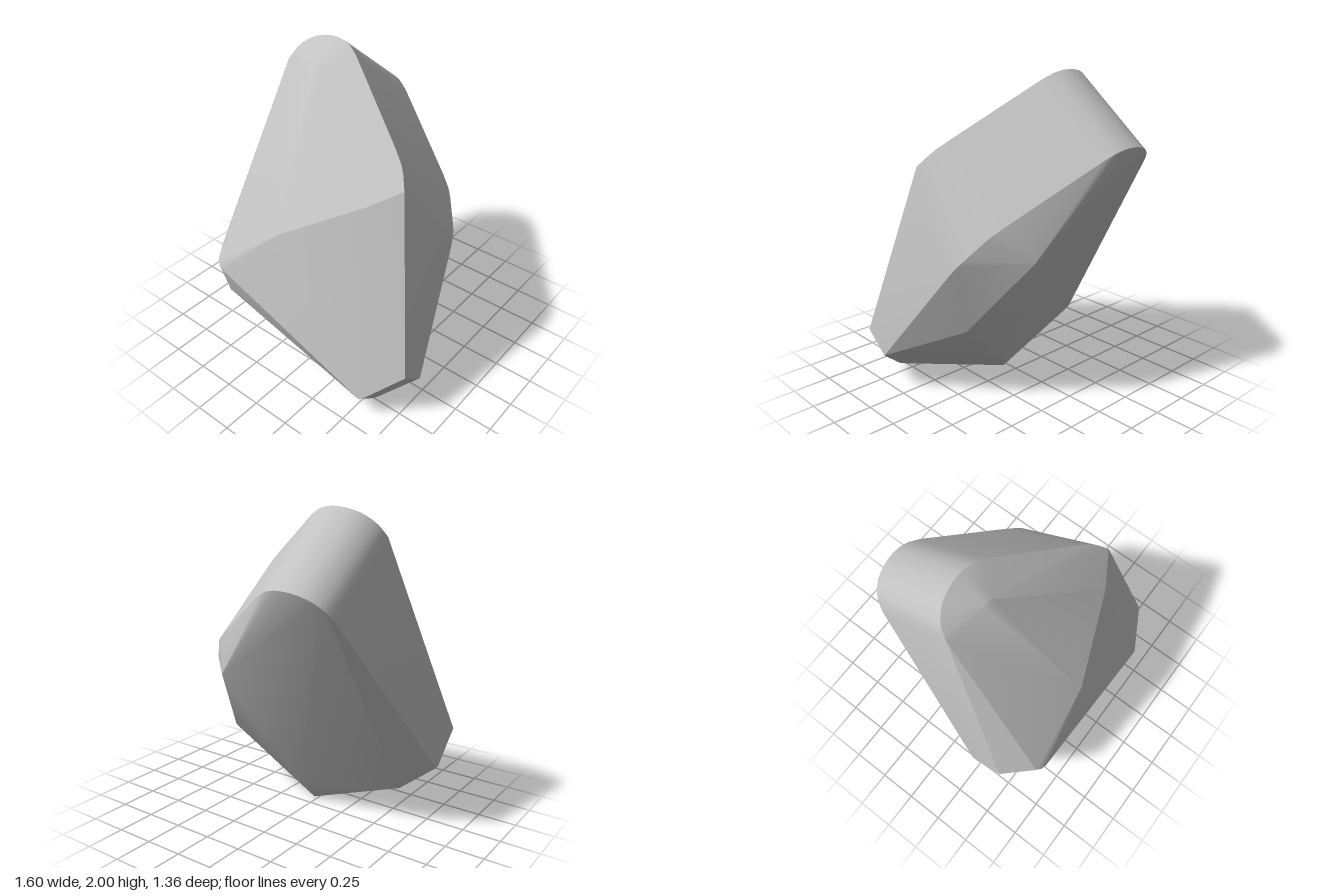
import * as THREE from 'three';
import { toCreasedNormals } from 'three/addons/utils/BufferGeometryUtils.js';
import { ConvexGeometry } from 'three/addons/geometries/ConvexGeometry.js';

const v = (x, y, z) => new THREE.Vector3(x, y, z);

// Points along a smooth curve through the given points
const arc = (points, steps) =>
  new THREE.CatmullRomCurve3(points.map((p) => v(...p)), false, 'centripetal').getPoints(steps);

// Points of the tilted planes that hold the front and back rims
const onFront = (x, y) => [x, y, -0.16 + (2 - y) / 1.27];
const onBack = (x, y) => [x, y, 0.53 - (y - 0.04) / 1.28];

export function createModel() {
  const stone = new THREE.MeshStandardMaterial({ color: 0xc2c2c2 });
  stone.name = 'stone grey';

  // Rounded crown and right shoulder of the front rim
  const crown = arc([
    onFront(-0.56, 1.83), onFront(-0.525, 1.905), onFront(-0.45, 1.965), onFront(-0.36, 1.993),
    onFront(-0.27, 2), onFront(-0.18, 1.985), onFront(-0.09, 1.94),
  ], 14);
  const shoulder = arc([onFront(0.4, 1.61), onFront(0.49, 1.54), onFront(0.56, 1.45)], 6);

  // The back rim repeats the front rim, pushed back and down
  const depth = v(0, -0.41, -0.52);
  const backRim = [...crown, ...shoulder].map((p) => p.clone().add(depth));
  const backShoulder = arc([onBack(0.59, 1), onBack(0.625, 0.95), onBack(0.65, 0.88)], 4);

  // Curved lower left edge, front and back
  const lowerFront = arc([[-0.59, 0.37, 0.62], [-0.45, 0.27, 0.58], [-0.3, 0.19, 0.55], [-0.2, 0.16, 0.55]], 8);
  const lowerBack = arc([
    onBack(-0.8, 0.375), onBack(-0.72, 0.3), onBack(-0.6, 0.23), onBack(-0.45, 0.165), onBack(-0.31, 0.12),
  ], 10);

  const corners = [
    // front ridge and the soft bulge below the right shoulder
    [-0.12, 1.03, 0.6], [-0.24, 1.88, 0.03], [-0.3, 1.89, 0.02], [0.38, 1.33, 0.39],
    // front left corner
    [-0.8, 0.57, 0.47], [-0.64, 0.62, 0.65], [-0.61, 0.6, 0.672], [-0.57, 0.58, 0.68],
    // lower right bevel
    [0.8, 0.37, 0.53], [0.8, 0.24, 0.37],
    [0.57, 0.16, 0.68], [0.59, 0.17, 0.67], [0.57, 0.04, 0.53], [0.59, 0.055, 0.52],
    // back ridge, from its peak down to the foot
    [0.31, 0.98, -0.5], [0.53, 0.49, -0.13], [0.07, 0.12, 0], [0.03, 0, 0.09],
    // lower left corner of the back
    [-0.8, 0.38, 0.235], [-0.62, 0.24, 0.1],
  ].map((p) => v(...p));

  const hull = new ConvexGeometry([
    ...crown, ...shoulder, ...backRim, ...backShoulder, ...lowerFront, ...lowerBack, ...corners,
  ]);
  const rock = new THREE.Mesh(toCreasedNormals(hull, 0.35), stone);
  rock.name = 'rock';

  const model = new THREE.Group();
  model.name = 'boulder';
  model.add(rock);
  return model;
}
